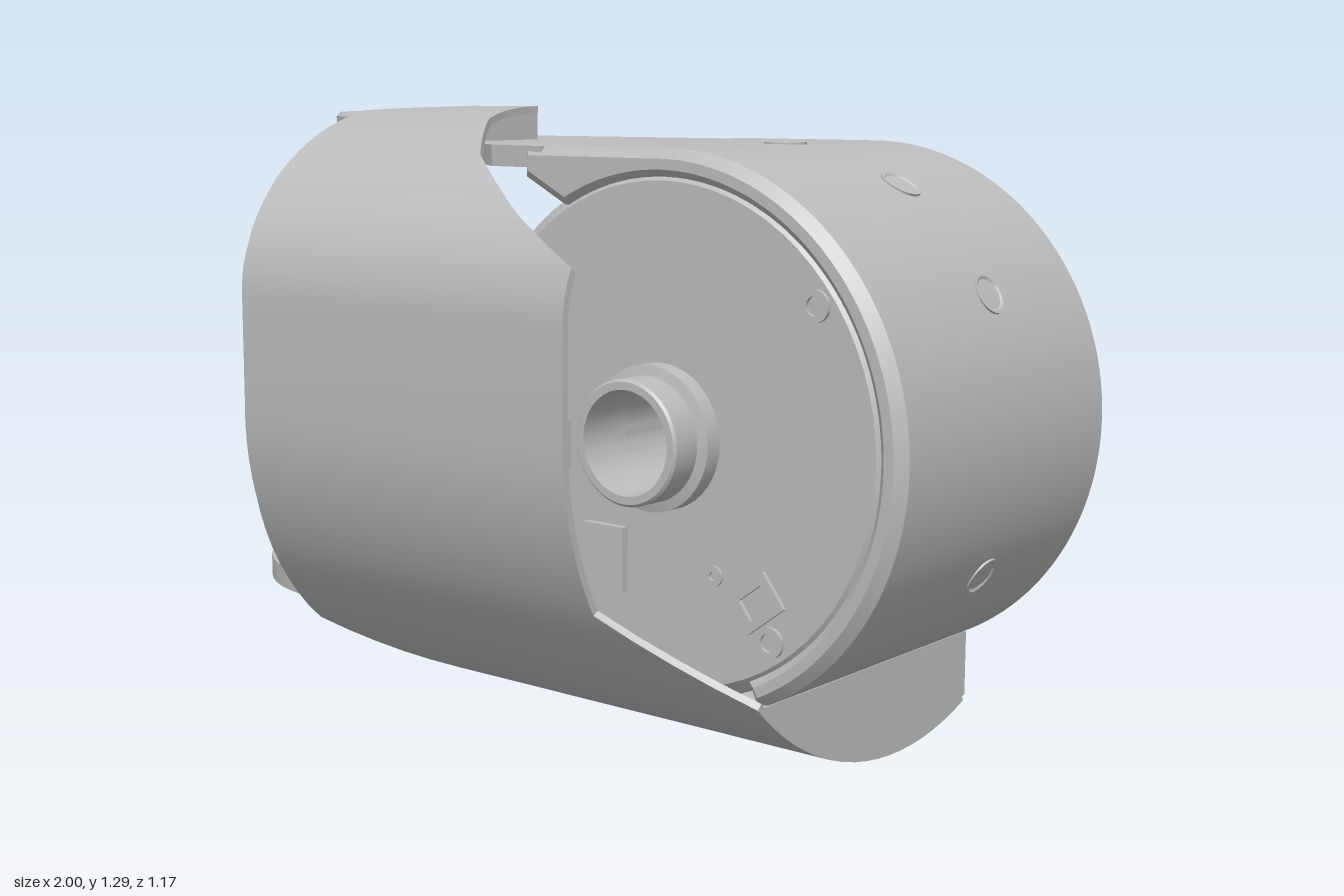
import * as THREE from 'three';
import { toCreasedNormals } from 'three/addons/utils/BufferGeometryUtils.js';

const grey = new THREE.MeshStandardMaterial({ color: 0xbcbcbc });
grey.name = 'grey metal';
const CX = 0.46, CY = 0.68, RAD = Math.PI / 180;

export function createModel() {
  const group = new THREE.Group();

  const add = (name, geo, x = 0, y = 0, z = 0) => {
    const mesh = new THREE.Mesh(toCreasedNormals(geo, 0.5), grey);
    mesh.name = name;
    mesh.position.set(x, y, z);
    group.add(mesh);
    return mesh;
  };
  const poly = (pts) => new THREE.Shape(pts.map(([x, y]) => new THREE.Vector2(x, y)));
  const circle = (r, x = 0, y = 0) => new THREE.Shape().absarc(x, y, r, 0, Math.PI * 2, false);
  const hole = (shape, r, x = 0, y = 0) => shape.holes.push(new THREE.Path().absarc(x, y, r, 0, Math.PI * 2, true));
  const extrude = (shape, depth) => new THREE.ExtrudeGeometry(shape, { depth, bevelEnabled: false, curveSegments: 36 });
  // horizontal plate; shape y means -z
  const slab = (shape, depth) => extrude(shape, depth).rotateX(-Math.PI / 2);
  // profile across z and y, extruded along x; shape x means -z
  const across = (pts, width) => extrude(poly(pts), width).rotateY(Math.PI / 2);
  // closed turned profile, counterclockwise [radius, height]
  const turned = (pts, seg = 72) =>
    new THREE.LatheGeometry([...pts, pts[0]].map(([r, h]) => new THREE.Vector2(r, h)), seg);
  const turnedZ = (pts, seg) => turned(pts, seg).rotateX(Math.PI / 2);

  // main drum with a bore right through and a recess behind its front disc
  add('drum', turnedZ([[0.1, -0.35], [0.505, -0.35], [0.505, 0.17], [0.44, 0.17], [0.44, 0.32],
    [0.505, 0.32], [0.505, 0.345], [0.48, 0.368], [0.1, 0.368]]), CX, CY);

  // back plate of the drum with its bolt circle
  const backPlate = circle(0.525);
  hole(backPlate, 0.3);
  for (let i = 0; i < 14; i++) {
    const a = (i + 0.5) * Math.PI / 7;
    hole(backPlate, 0.02, 0.445 * Math.cos(a), 0.445 * Math.sin(a));
  }
  add('drumBackPlate', extrude(backPlate, 0.025), CX, CY, -0.372);

  // strap around the drum, flat where it meets the top arm
  const strap = new THREE.Shape();
  strap.moveTo(-0.33, 0.52);
  strap.lineTo(0, 0.52);
  strap.absarc(0, 0, 0.52, Math.PI / 2, -63 * RAD, true);
  strap.absarc(0, 0, 0.5, -63 * RAD, 118 * RAD, false);
  strap.lineTo(-0.33, 0.49);
  add('housingStrap', new THREE.ExtrudeGeometry(strap, {
    depth: 0.71, bevelThickness: 0.02, bevelSize: 0.02, bevelSegments: 1, curveSegments: 64,
  }).translate(0, 0, -0.355), CX, CY);

  // tapering top arm and its bearing ring
  const arm = poly([[0.16, 0.37], [0.05, 0.362], [-0.58, 0.29], [-0.43, 0.16], [-0.41, 0.03], [-0.46, -0.02], [0.02, -0.36], [0.16, -0.37]]);
  add('topArm', slab(arm, 0.042), 0, 1.176, 0);
  add('armRing', turned([[0.165, 0], [0.2, 0], [0.215, 0.015], [0.215, 0.085], [0.205, 0.095],
    [0.14, 0.095], [0.14, 0.04], [0.165, 0.04]]), -0.607, 1.18, -0.09);

  // rib between the arm and the top of the shell
  const rib = [[0.02, 1.2], [-0.372, 1.2]];
  for (let e = 50; e <= 90; e += 8) rib.push([0.02 - 0.605 * Math.cos(e * RAD), 0.9 + 0.385 * Math.sin(e * RAD)]);
  add('shellRib', across(rib, 0.02), -0.222, 0, 0);

  // round screw seats on the rim
  for (const deg of [90, 60, 30, -30]) {
    const seat = add('rimScrew', turned([[0.02, -0.02], [0.042, -0.02], [0.042, 0.003], [0.036, 0.003], [0.02, -0.01]], 24),
      CX + 0.54 * Math.cos(deg * RAD), CY + 0.54 * Math.sin(deg * RAD), -0.025);
    seat.rotation.z = (deg - 90) * RAD;
  }

  // front hollow shaft
  add('frontShaft', turnedZ([[0.1, 0.35], [0.14, 0.35], [0.14, 0.405], [0.12, 0.41], [0.12, 0.47], [0.115, 0.475], [0.1, 0.475]], 48), CX, CY);

  // front face screws, pin and connectors
  for (const [x, y] of [[0.81, 0.95], [0.72, 0.325], [0.11, 0.95], [0.2, 0.33]]) {
    add('faceScrew', turnedZ([[0.018, 0.36], [0.03, 0.36], [0.03, 0.376], [0.018, 0.376]], 24), x, y);
  }
  add('facePin', turnedZ([[0.008, 0.36], [0.02, 0.36], [0.02, 0.374], [0.008, 0.374]], 20), 0.59, 0.43);
  const socket = poly([[-0.05, -0.04], [0.05, -0.04], [0.05, 0.04], [-0.05, 0.04]]);
  socket.holes.push(poly([[-0.03, -0.022], [-0.03, 0.022], [0.03, 0.022], [0.03, -0.022]]));
  add('faceSocket', extrude(socket, 0.015), 0.69, 0.395, 0.362).rotation.z = 0.65;
  add('lowConnector', new THREE.BoxGeometry(0.1, 0.13, 0.03), 0.33, 0.43, 0.37);
  for (const x of [0.1, 0.2]) add('sideConnector', new THREE.BoxGeometry(0.07, 0.1, 0.07), x, 0.64, 0.4);

  // output flange at the back: grooved rim and bolted cap
  add('outputRim', turnedZ([[0.1, -0.515], [0.383, -0.515], [0.383, -0.5], [0.37, -0.5], [0.37, -0.49], [0.383, -0.49],
    [0.383, -0.415], [0.37, -0.415], [0.37, -0.4], [0.383, -0.4], [0.383, -0.34], [0.1, -0.34]]), CX, CY);
  const cap = circle(0.383);
  hole(cap, 0.1);
  for (let i = 0; i < 20; i++) {
    const a = (3 + i * 18) * RAD, screw = i % 5 === 3;
    hole(cap, screw ? 0.034 : 0.021, 0.335 * Math.cos(a), 0.335 * Math.sin(a));
    if (screw) {
      add('capScrew', turnedZ([[0.012, -0.532], [0.026, -0.532], [0.026, -0.51], [0.012, -0.51]], 20),
        CX + 0.335 * Math.cos(a), CY + 0.335 * Math.sin(a));
    }
  }
  add('outputCap', extrude(cap, 0.027), CX, CY, -0.54);

  // lower flange: ring opening joined to a tapered notch, with bolt circle
  const flange = new THREE.Shape();
  flange.moveTo(-0.22, 0.485);
  flange.lineTo(-0.61, 0.485);
  flange.absarc(-0.61, 0.095, 0.39, Math.PI / 2, Math.PI * 1.5, false);
  flange.lineTo(-0.2, -0.28);
  flange.lineTo(0.3, -0.28);
  flange.lineTo(0.3, 0.4);
  flange.lineTo(0.1, 0.4);
  flange.quadraticCurveTo(-0.1, 0.475, -0.22, 0.485);
  const opening = new THREE.Path();
  opening.absarc(-0.61, 0.1, 0.29, 0.352, Math.PI * 2 - 0.21, false);
  for (const [x, y] of [[-0.12, 0.04], [-0.05, 0.12], [-0.05, 0.2], [-0.12, 0.25]]) opening.lineTo(x, y);
  flange.holes.push(opening);
  for (let k = 2; k < 16; k++) {
    if (k % 4 === 0) continue;
    const a = k * Math.PI / 8;
    hole(flange, 0.025, -0.61 + 0.342 * Math.cos(a), 0.095 + 0.342 * Math.sin(a));
  }
  add('lowerFlange', slab(flange, 0.05), 0, 0.18, 0);

  // pocket under the notch: wall and floor
  add('pocketWall', slab(poly([[-0.34, 0.215], [-0.02, 0.33], [0.1, 0.3], [0.1, 0], [-0.37, 0], [-0.37, 0.04],
    [-0.12, 0.04], [-0.05, 0.12], [-0.05, 0.2], [-0.12, 0.25], [-0.335, 0.2]]), 0.13), 0, 0.05, 0);
  add('pocketFloor', slab(poly([[-0.37, 0.205], [-0.34, 0.215], [-0.04, 0.32], [-0.04, 0], [-0.37, 0]]), 0.036), 0, 0.015, 0);
  add('flangeGusset', new THREE.BoxGeometry(0.4, 0.11, 0.05), 0.22, 0.13, -0.385);

  // saddle between drum and shell
  const saddle = [[-0.37, 0.2], [0.35, 0.2]];
  for (let i = 0; i <= 20; i++) {
    const z = -0.35 + i * 0.036;
    saddle.push([-z, 0.68 - Math.sqrt(0.67 ** 2 - (z + 0.09) ** 2)]);
  }
  add('saddle', across(saddle, 0.51), 0.2, 0, 0);

  add('shell', shellGeometry());

  // small clip on the inside of the shell
  add('shellClip', new THREE.BoxGeometry(0.1, 0.15, 0.02), -0.3, 0.685, 0.57);
  add('shellClipNeck', new THREE.BoxGeometry(0.07, 0.1, 0.03), -0.3, 0.685, 0.55);
  add('shellClipHead', new THREE.BoxGeometry(0.09, 0.12, 0.04), -0.3, 0.685, 0.525);

  return group;
}

// Curved cover: strips across x, swept under the drum, up the front and over the top.
// Keys: sweep angle, left x, right x.
function shellGeometry() {
  const keys = [
    [-46.7, 0.06, 0.43], [-41.4, 0.05, 0.52], [-29, 0.02, 0.63], [-22, 0, 0.71], [-4, -0.06, 0.71],
    [6, -0.1, 0.71], [13, -0.17, 0.71], [25, -0.33, 0.71], [40, -0.53, 0.71],
    [45, -0.525, 0.71], [61, -0.505, 0.41], [72, -0.49, 0.41], [90, -0.48, 0.41], [90.01, -0.48, 0.41],
    [106, -0.485, 0.41], [120, -0.5, 0.225], [140, -0.535, 0], [160, -0.58, -0.148], [167, -0.6, -0.175],
    [174, -0.44, -0.19], [178, -0.4, -0.2], [180, -0.4, -0.2],
  ];
  const point = (deg) => {
    if (deg <= 90) return [-0.09 + 0.68 * Math.sin(deg * RAD), 0.68 - 0.68 * Math.cos(deg * RAD)];
    const e = (deg - 90) * RAD;
    return [-0.02 + 0.61 * Math.cos(e), 0.9 + 0.39 * Math.sin(e)];
  };
  const pos = [], idx = [], T = 0.015;
  const section = (deg, xL, xR) => {
    const [z, y] = point(deg);
    // inward direction of the lower arc or the upper ellipse
    let nz = -(z + 0.09), ny = 0.68 - y;
    if (deg > 90) { nz = -(z + 0.02) / 0.61 ** 2; ny = (0.9 - y) / 0.39 ** 2; }
    const l = T / Math.hypot(nz, ny);
    const zi = z + nz * l, yi = y + ny * l;
    pos.push(xL, y, z, xR, y, z, xR, yi, zi, xL, yi, zi);
  };
  keys.forEach(([d, xL, xR], k) => {
    if (k === 0) return section(d, xL, xR);
    const [d0, l0, r0] = keys[k - 1];
    const n = Math.max(1, Math.ceil((d - d0) / 4));
    for (let i = 1; i <= n; i++) {
      const t = i / n;
      section(d0 + (d - d0) * t, l0 + (xL - l0) * t, r0 + (xR - r0) * t);
    }
  });
  const rows = pos.length / 12;
  for (let s = 0; s < rows - 1; s++) {
    for (let j = 0; j < 4; j++) {
      const a = s * 4 + j, b = s * 4 + (j + 1) % 4;
      idx.push(a, b, b + 4, a, b + 4, a + 4);
    }
  }
  const e = (rows - 1) * 4;
  idx.push(0, 3, 2, 0, 2, 1, e, e + 1, e + 2, e, e + 2, e + 3);
  const geo = new THREE.BufferGeometry();
  geo.setAttribute('position', new THREE.Float32BufferAttribute(pos, 3));
  geo.setIndex(idx);
  return geo;
}
